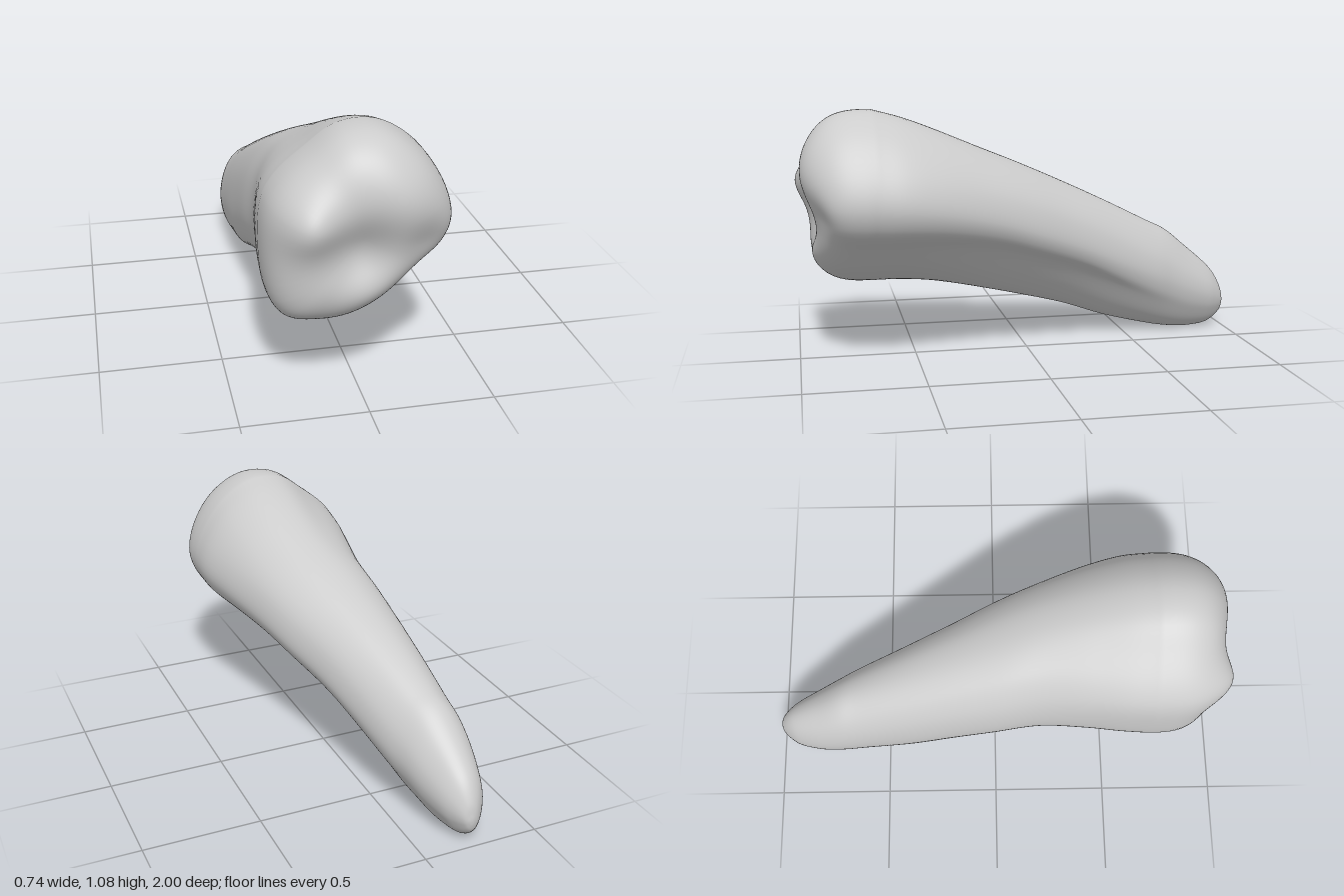
import * as THREE from 'three';
import { mergeVertices } from 'three/addons/utils/BufferGeometryUtils.js';

const SIDES = 80;

// Closed outline from unit-box points, clockwise as seen from the front
function outline(points) {
  const curve = new THREE.CatmullRomCurve3(points.map(([u, v]) => new THREE.Vector3(u, v, 0)), true, 'centripetal');
  return Array.from({ length: SIDES }, (_, j) => curve.getPoint(j / SIDES));
}

const crownOutline = outline([
  [1, 0.5], [0.95, 0.37], [0.8, 0.25], [0.6, 0.1], [0.42, 0.015], [0.25, 0], [0.1, 0.03], [0.03, 0.13],
  [0, 0.4], [0.02, 0.62], [0.09, 0.74], [0.25, 0.875], [0.42, 0.985], [0.62, 0.99], [0.82, 0.87], [0.96, 0.67],
]);
// The root has a shallow groove low on its left side
const rootOutline = outline([
  [1, 0.57], [0.95, 0.46], [0.83, 0.365], [0.62, 0.155], [0.45, 0.035], [0.29, 0], [0.12, 0.06], [0.02, 0.25],
  [0, 0.45], [0.05, 0.7], [0.17, 0.88], [0.33, 0.97], [0.5, 1], [0.7, 0.97], [0.88, 0.86], [0.97, 0.74],
]);
const tipOutline = outline([
  [1, 0.53], [0.96, 0.38], [0.87, 0.25], [0.72, 0.1], [0.55, 0.015], [0.38, 0], [0.2, 0.06], [0.06, 0.22],
  [0, 0.45], [0.04, 0.68], [0.15, 0.86], [0.32, 0.97], [0.5, 1], [0.7, 0.95], [0.86, 0.83], [0.97, 0.68],
]);

// Extents along the length: z, xMin, xMax, yMin, yMax
const extents = [
  [0.68, -0.37, 0.368, 0.31, 1.075],
  [0.55, -0.36, 0.362, 0.31, 1.04],
  [0.4, -0.34, 0.327, 0.295, 0.985],
  [0.2, -0.32, 0.265, 0.255, 0.9],
  [0, -0.33, 0.2, 0.205, 0.815],
  [-0.2, -0.335, 0.125, 0.15, 0.725],
  [-0.4, -0.34, 0.06, 0.08, 0.63],
  [-0.6, -0.34, 0, 0.03, 0.53],
  [-0.7, -0.34, -0.037, 0.01, 0.48],
  [-0.8, -0.33, -0.07, 0, 0.4],
  [-0.9, -0.303, -0.108, 0.008, 0.315],
  [-0.95, -0.274, -0.137, 0.03, 0.26],
  [-0.985, -0.24, -0.166, 0.065, 0.195],
  [-0.997, -0.217, -0.186, 0.095, 0.145],
  [-1, -0.202, -0.202, 0.12, 0.12],
];

// Raised cusps and hollows of the biting face: x, y, height, radius
const bumps = [
  [-0.24, 0.76, 0.07, 0.12],
  [0.15, 0.86, 0.035, 0.19],
  [0.02, 0.46, 0.018, 0.1],
  [-0.02, 0.62, -0.07, 0.14],
  [0.25, 0.62, -0.055, 0.12],
];

function crownFace(x, y, s) {
  const dome = Math.cbrt(Math.max(0, 1 - s ** 3));
  let z = 0.68 + 0.284 * dome;
  for (const [bx, by, h, r] of bumps) {
    z += h * dome * Math.exp(-((x - bx) ** 2 + (y - by) ** 2) / (r * r));
  }
  return z;
}

function toothGeometry() {
  const rings = [];

  // Biting face: the crown outline shrinks inwards over a bumpy dome
  const [, x0, x1, y0, y1] = extents[0];
  const cx = 0, cy = 0.68, faceRings = 32;
  for (let i = 0; i < faceRings; i++) {
    const s = Math.sin((i / faceRings) * Math.PI / 2);
    rings.push(crownOutline.map(p => {
      const x = cx + (x0 + p.x * (x1 - x0) - cx) * s;
      const y = cy + (y0 + p.y * (y1 - y0) - cy) * s;
      return [x, y, crownFace(x, y, s)];
    }));
  }

  // Body: crown outline blends into the root outline, then into the rounder tip
  const xs = new THREE.CatmullRomCurve3(extents.map(e => new THREE.Vector3(e[0], e[1], e[2])), false, 'catmullrom');
  const ys = new THREE.CatmullRomCurve3(extents.map(e => new THREE.Vector3(e[0], e[3], e[4])), false, 'catmullrom');
  const bodyRings = 84;
  for (let i = 0; i <= bodyRings; i++) {
    const a = xs.getPoint(i / bodyRings), b = ys.getPoint(i / bodyRings);
    const toRoot = 1 - THREE.MathUtils.smoothstep(a.x, 0.05, 0.68);
    const toTip = 1 - THREE.MathUtils.smoothstep(a.x, -0.85, -0.25);
    rings.push(crownOutline.map((p, j) => {
      const q = p.clone().lerp(rootOutline[j], toRoot).lerp(tipOutline[j], toTip);
      return [a.y + q.x * (a.z - a.y), b.y + q.y * (b.z - b.y), a.x];
    }));
  }

  const index = [];
  for (let k = 0; k < rings.length - 1; k++) {
    for (let j = 0; j < SIDES; j++) {
      const n = (j + 1) % SIDES;
      const a = k * SIDES + j, b = k * SIDES + n, c = a + SIDES, d = b + SIDES;
      if (k > 0) index.push(a, b, c);
      if (k < rings.length - 2) index.push(b, d, c);
    }
  }
  const geometry = new THREE.BufferGeometry();
  geometry.setAttribute('position', new THREE.Float32BufferAttribute(rings.flat(2), 3));
  geometry.setIndex(index);
  const merged = mergeVertices(geometry, 1e-5);
  merged.computeVertexNormals();
  return merged;
}

export function createModel() {
  const enamel = new THREE.MeshStandardMaterial({ color: 0xcccccc });
  enamel.name = 'pale grey';
  const tooth = new THREE.Mesh(toothGeometry(), enamel);
  tooth.name = 'tooth';
  const group = new THREE.Group();
  group.name = 'toothModel';
  group.add(tooth);
  return group;
}
